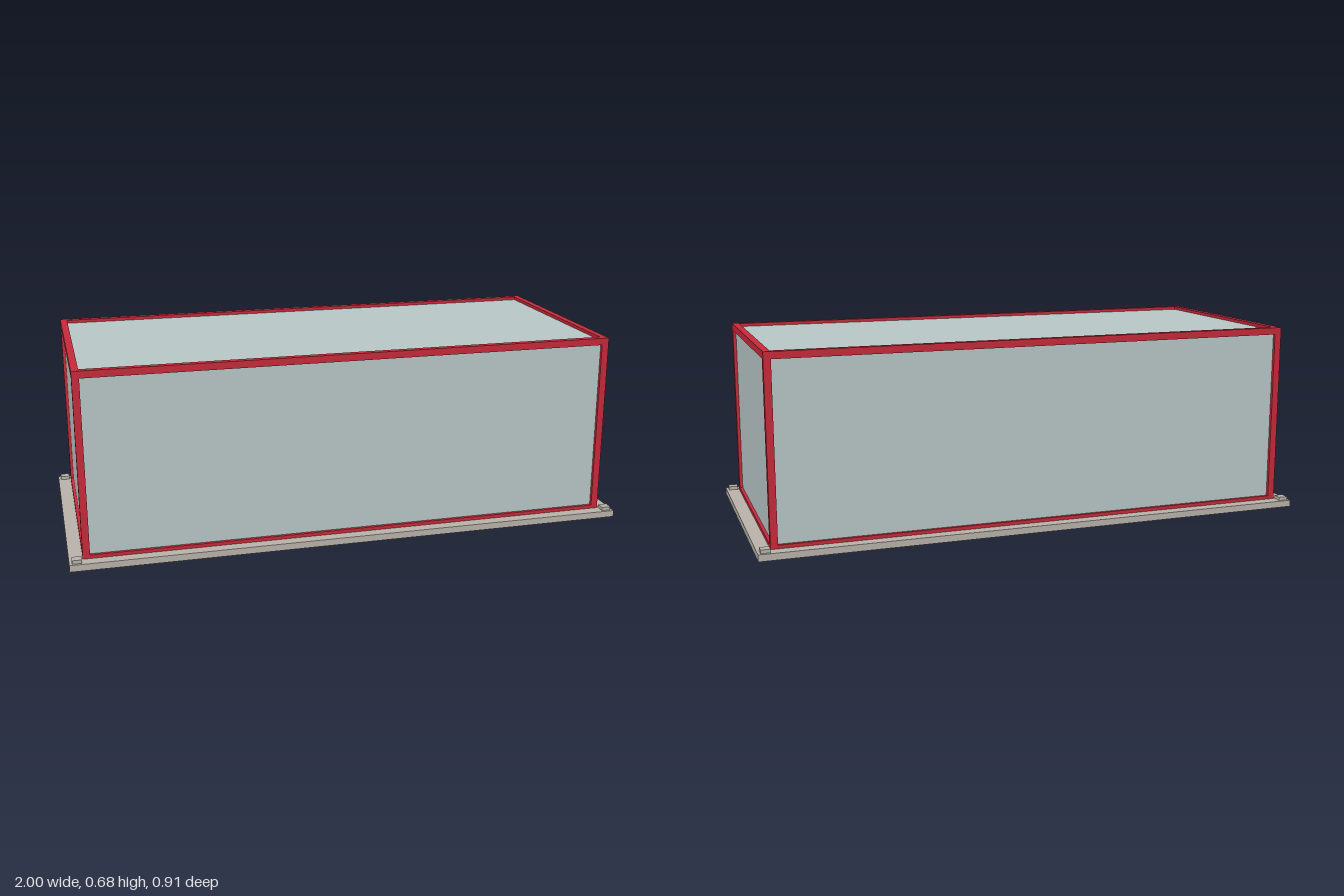
import * as THREE from 'three';

export function createModel() {
  const model = new THREE.Group();
  model.name = 'framedDisplayCase';

  const material = (name, color) => {
    const m = new THREE.MeshStandardMaterial({ color });
    m.name = name;
    return m;
  };
  const stone = material('warm grey base', 0xbab4ac);
  const red = material('red frame', 0xc82a3a);
  const glass = material('pale panel', 0xbac8c8);

  const box = (name, mat, size, pos) => {
    const mesh = new THREE.Mesh(new THREE.BoxGeometry(...size), mat);
    mesh.name = name;
    mesh.position.set(...pos);
    model.add(mesh);
  };

  const baseH = 0.024, bar = 0.025;
  const halfX = 0.953, halfZ = 0.41, top = 0.68, bottom = 0.0115;

  // Base slab
  box('baseSlab', stone, [2, baseH, 0.906], [0, baseH / 2, 0]);

  // Panelled body, set back from the frame faces
  const inset = 0.0115;
  const bodyH = top - inset - baseH;
  box('panels', glass, [2 * (halfX - inset), bodyH, 2 * (halfZ - inset)], [0, baseH + bodyH / 2, 0]);

  // Frame posts and corner pads
  for (const sx of [-1, 1]) {
    for (const sz of [-1, 1]) {
      box('cornerPost', red, [bar, top - bar - baseH, bar],
        [sx * (halfX - bar / 2), (top - bar + baseH) / 2, sz * (halfZ - bar / 2)]);
      box('cornerPad', stone, [0.033, 0.0125, 0.033], [sx * 0.974, baseH + 0.00625, sz * 0.427]);
    }
  }

  // Upper and lower rails; the lower ones are sunk halfway into the base
  for (const [level, y] of [['lower', bottom + bar / 2], ['upper', top - bar / 2]]) {
    for (const s of [-1, 1]) {
      box(level + 'LongRail', red, [2 * halfX, bar, bar], [0, y, s * (halfZ - bar / 2)]);
      box(level + 'EndRail', red, [bar, bar, 2 * (halfZ - bar)], [s * (halfX - bar / 2), y, 0]);
    }
  }

  return model;
}
